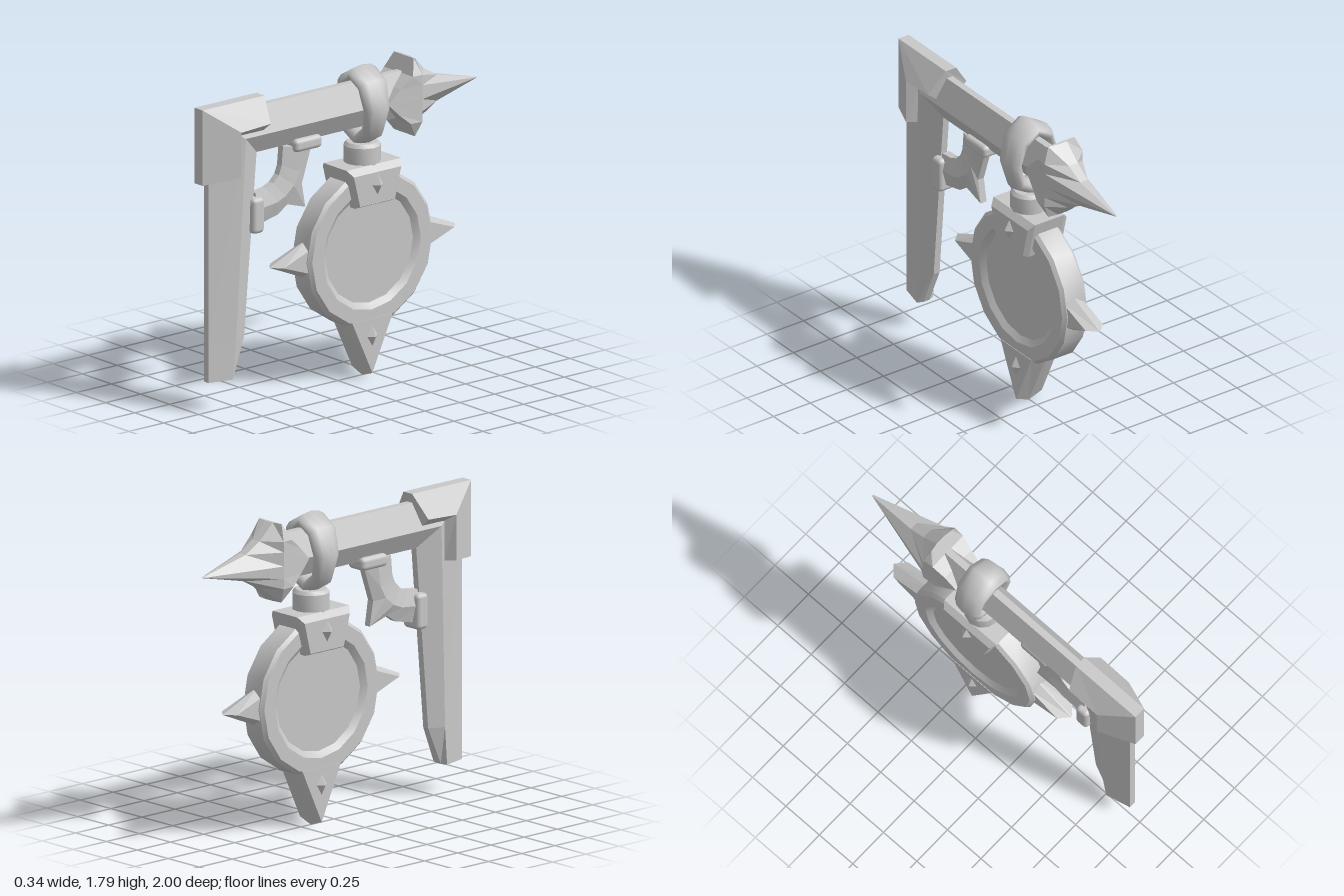
import * as THREE from 'three';
import { toCreasedNormals, mergeVertices } from 'three/addons/utils/BufferGeometryUtils.js';
import { RoundedBoxGeometry } from 'three/addons/geometries/RoundedBoxGeometry.js';

// Faceted solid through a list of loops of [x, y, z], closed at both ends
function loft(loops) {
  const tris = [];
  const n = loops[0].length;
  for (let i = 0; i < loops.length - 1; i++) {
    for (let j = 0; j < n; j++) {
      const k = (j + 1) % n;
      const [a, b, c, d] = [loops[i][j], loops[i][k], loops[i + 1][k], loops[i + 1][j]];
      tris.push([a, b, c], [a, c, d]);
    }
  }
  const first = loops[0], last = loops[loops.length - 1];
  for (let j = 1; j < n - 1; j++) {
    tris.push([first[0], first[j + 1], first[j]], [last[0], last[j], last[j + 1]]);
  }
  // Turn the faces outward whichever way the loops run
  const v = (p) => new THREE.Vector3(...p);
  const volume = tris.reduce((s, [a, b, c]) => s + v(a).dot(v(b).cross(v(c))), 0);
  if (volume < 0) tris.forEach((t) => t.reverse());
  const geometry = new THREE.BufferGeometry();
  geometry.setAttribute('position', new THREE.Float32BufferAttribute(tris.flat(2), 3));
  geometry.computeVertexNormals();
  return geometry;
}

// Six-sided bar: each station is outer, ridge and inner [halfWidth, y, z]
function ridgedBar(stations) {
  return loft(stations.map((s) => [
    ...s, ...[...s].reverse().map(([x, y, z]) => [-x, y, z]),
  ]));
}

// Plate in the y-z plane, widest in the middle and bevelled towards both sides
function bevelledPlate(outline, face, midHalf, half) {
  const at = (pts, x) => pts.map(([z, y]) => [x, y, z]);
  return loft([at(face, -half), at(outline, -midHalf), at(outline, midHalf), at(face, half)]);
}

export function createModel() {
  const model = new THREE.Group();
  const grey = new THREE.MeshStandardMaterial({ color: 0xc8c8c8 });
  grey.name = 'grey';
  const add = (name, geometry, x = 0, y = 0, z = 0) => {
    const mesh = new THREE.Mesh(geometry, grey);
    mesh.name = name;
    mesh.position.set(x, y, z);
    model.add(mesh);
    return mesh;
  };
  const dialY = 0.76, dialZ = -0.175;

  // Post and beam in one bent bar
  add('postAndBeam', ridgedBar([
    [[0.02, 0.19, 0.945], [0.055, 0.19, 0.8], [0.02, 0.19, 0.785]],
    [[0.02, 0.41, 0.945], [0.06, 0.41, 0.78], [0.02, 0.41, 0.69]],
    [[0.02, 1.72, 0.945], [0.085, 1.57, 0.73], [0.02, 1.455, 0.6]],
    [[0.02, 1.72, -0.45], [0.085, 1.57, -0.45], [0.02, 1.455, -0.45]],
  ]));

  // Sleeve over the corner
  add('cornerSleeve', ridgedBar([
    [[0.035, 1.34, 1], [0.13, 1.37, 0.8], [0.07, 1.365, 0.765]],
    [[0.035, 1.775, 1], [0.13, 1.63, 0.8], [0.07, 1.59, 0.755]],
    [[0.035, 1.775, 0.555], [0.13, 1.64, 0.59], [0.07, 1.59, 0.595]],
  ]));

  // Spear head: levels of y, back, shoulder and front as [halfWidth, z]
  add('spearHead', ridgedBar([
    [1.8, [0.085, -0.474], [0.09, -0.48], [0.03, -0.49]],
    [1.71, [0.125, -0.436], [0.13, -0.5], [0.03, -0.59]],
    [1.65, [0.11, -0.36], [0.13, -0.5], [0.025, -0.69]],
    [1.57, [0.1, -0.28], [0.13, -0.5], [0.004, -1]],
    [1.5, [0.11, -0.35], [0.13, -0.5], [0.025, -0.69]],
    [1.44, [0.125, -0.42], [0.13, -0.5], [0.03, -0.58]],
    [1.353, [0.085, -0.474], [0.09, -0.48], [0.03, -0.49]],
  ].map(([y, ...pts]) => pts.map(([x, z]) => [x, y, z]))));

  // Curved brace with a spur, and its two mounting pads
  add('brace', ridgedBar([
    [[0.41, 1.45], [0.29, 1.43], [0.205, 1.42]],
    [[0.42, 1.34], [0.31, 1.29], [0.275, 1.21]],
    [[0.44, 1.29], [0.35, 1.22], [0.25, 1.07]],
    [[0.48, 1.25], [0.41, 1.17], [0.38, 1.11]],
    [[0.53, 1.23], [0.47, 1.145], [0.445, 1.065]],
    [[0.61, 1.22], [0.6, 1.13], [0.6, 1.03]],
  ].map((s) => s.map(([z, y], i) => [[0.02, 0.045, 0.02][i], y, z]))));
  add('upperPad', new RoundedBoxGeometry(0.13, 0.075, 0.195, 2, 0.025), 0, 1.443, 0.255);
  add('lowerPad', new RoundedBoxGeometry(0.13, 0.205, 0.085, 2, 0.025), 0, 1.097, 0.615);

  // Round dial with a raised rim on both sides
  const half = [[0, 0.06], [0.315, 0.06], [0.35, 0.085], [0.43, 0.085], [0.45, 0.065]];
  const profile = [
    ...half.map(([r, x]) => new THREE.Vector2(r, -x)),
    ...[...half].reverse().map(([r, x]) => new THREE.Vector2(r, x)),
  ];
  const dial = toCreasedNormals(new THREE.LatheGeometry(profile, 16), 0.5);
  dial.rotateZ(Math.PI / 2);
  add('dial', dial, 0, dialY, dialZ);

  // Spikes at the sides and bottom of the dial
  const spike = (length, base, inset, halfWidth) => bevelledPlate(
    [[-base, -0.4], [base, -0.4], [0, -0.43 - length]],
    [[-base + inset, -0.4], [base - inset, -0.4], [0, -0.43 - length + inset * 1.5]],
    0.002, halfWidth);
  add('bottomSpike', spike(0.315, 0.165, 0.02, 0.088), 0, dialY, dialZ);
  for (const side of [-1, 1]) {
    const mesh = add(side > 0 ? 'frontSpike' : 'backSpike', spike(0.235, 0.112, 0.035, 0.06), 0, dialY, dialZ);
    mesh.rotation.x = -side * Math.PI / 2;
  }

  // Collar clamped on top of the dial
  add('collar', bevelledPlate(
    [[0.02, 1.25], [-0.37, 1.25], [-0.31, 1.02], [-0.04, 1.02]],
    [[-0.005, 1.215], [-0.345, 1.215], [-0.3, 1.035], [-0.05, 1.035]],
    0.1, 0.133));

  // Pointed studs on both faces
  for (const side of [-1, 1]) {
    for (const [name, x, y, depth] of [['collarStud', 0.13, 1.145, 0.037], ['spikeStud', 0.085, 0.26, 0.032]]) {
      const stud = new THREE.OctahedronGeometry(1);
      stud.scale(depth, 0.065, 0.04);
      add(name, stud, side * x, y, dialZ);
    }
  }

  // Neck with chamfered top
  const neck = new THREE.LatheGeometry([
    [0, 1.2], [0.105, 1.2], [0.105, 1.345], [0.088, 1.365], [0, 1.365],
  ].map((p) => new THREE.Vector2(...p)), 12);
  add('neck', toCreasedNormals(neck, 0.6), 0, 0, dialZ);

  // Hanging ring around the beam, broad on top and slim below
  let ring = new THREE.TorusGeometry(1, 0.5, 10, 8);
  const p = ring.attributes.position;
  for (let i = 0; i < p.count; i++) {
    const u = Math.atan2(p.getY(i), p.getX(i));
    const a = (Math.hypot(p.getX(i), p.getY(i)) - 1) / 0.5;
    const width = 0.085 + 0.018 * Math.sin(u);
    p.setXYZ(i, Math.cos(u) * (0.125 + 0.045 * a), Math.sin(u) * (0.19 + 0.045 * a), p.getZ(i) / 0.5 * width);
  }
  ring.deleteAttribute('uv');
  ring.deleteAttribute('normal');
  ring = mergeVertices(ring, 1e-4);
  ring.computeVertexNormals();
  add('hangingRing', ring, 0, 1.57, dialZ);

  return model;
}
